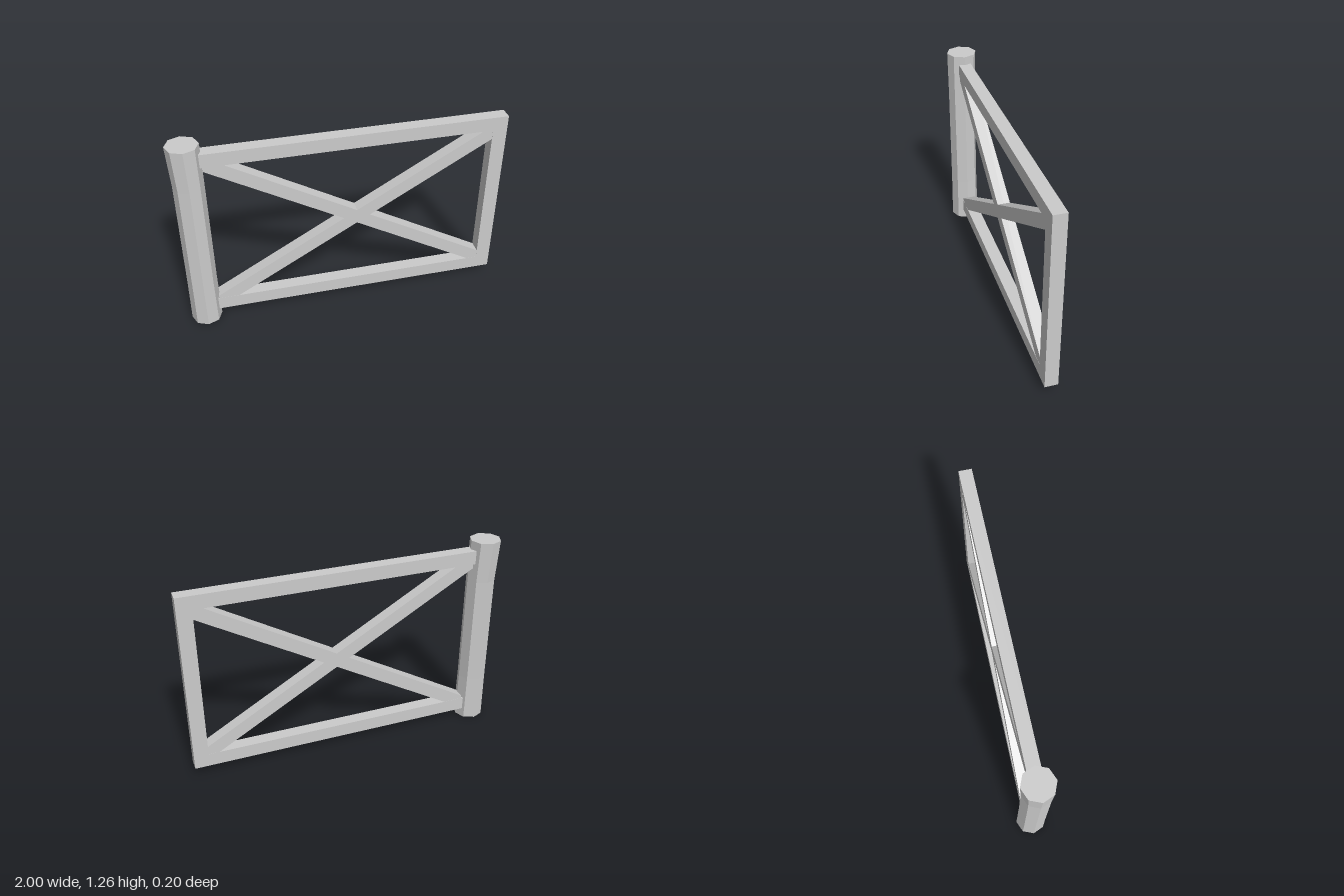
import * as THREE from 'three';

const FRONT = 0.035, BACK = -0.045;
const MID_Z = (FRONT + BACK) / 2, DEPTH = FRONT - BACK;

export function createModel() {
  const group = new THREE.Group();
  group.name = 'gate';
  const material = new THREE.MeshStandardMaterial({ color: 0xcccccc, flatShading: true });

  const add = (geometry, name) => {
    const mesh = new THREE.Mesh(geometry, material);
    mesh.name = name;
    group.add(mesh);
  };

  // Rectangular bar given by its limits in x and y
  const bar = (name, x0, x1, y0, y1) => {
    const geometry = new THREE.BoxGeometry(x1 - x0, y1 - y0, DEPTH);
    geometry.translate((x0 + x1) / 2, (y0 + y1) / 2, MID_Z);
    add(geometry, name);
  };

  // Rough-hewn octagonal post: each ring has its own height, radius and centre
  const rings = [
    { y: 0, r: 0.095, x: -0.896, z: 0.004 },
    { y: 0.3, r: 0.091, x: -0.897, z: 0.004 },
    { y: 1.0, r: 0.09, x: -0.897, z: 0.003 },
    { y: 1.26, r: 0.096, x: -0.904, z: -0.003 },
  ];
  const post = new THREE.CylinderGeometry(1, 1, 3, 8, 3);
  const p = post.attributes.position;
  for (let i = 0; i < p.count; i++) {
    const ring = rings[Math.round(p.getY(i) + 1.5)];
    p.setXYZ(i, ring.x + p.getX(i) * ring.r, ring.y, ring.z + p.getZ(i) * ring.r);
  }
  post.computeVertexNormals();
  add(post, 'post');

  // Outer frame
  bar('topRail', -0.825, 1, 1.12, 1.205);
  bar('bottomRail', -0.825, 1, 0.06, 0.145);
  bar('endStile', 0.91, 1, 0.145, 1.12);

  // Crossed braces with upright-cut ends, a hair thinner than the frame
  const depth = DEPTH - 0.002, x0 = -0.81, x1 = 0.95, half = 0.047;
  for (const [name, slope] of [['risingBrace', 0.575], ['fallingBrace', -0.575]]) {
    const y = (x) => 0.63 + slope * (x - 0.08);
    const shape = new THREE.Shape([
      new THREE.Vector2(x0, y(x0) - half),
      new THREE.Vector2(x1, y(x1) - half),
      new THREE.Vector2(x1, y(x1) + half),
      new THREE.Vector2(x0, y(x0) + half),
    ]);
    const geometry = new THREE.ExtrudeGeometry(shape, { depth, bevelEnabled: false });
    geometry.translate(0, 0, MID_Z - depth / 2);
    add(geometry, name);
  }

  return group;
}
